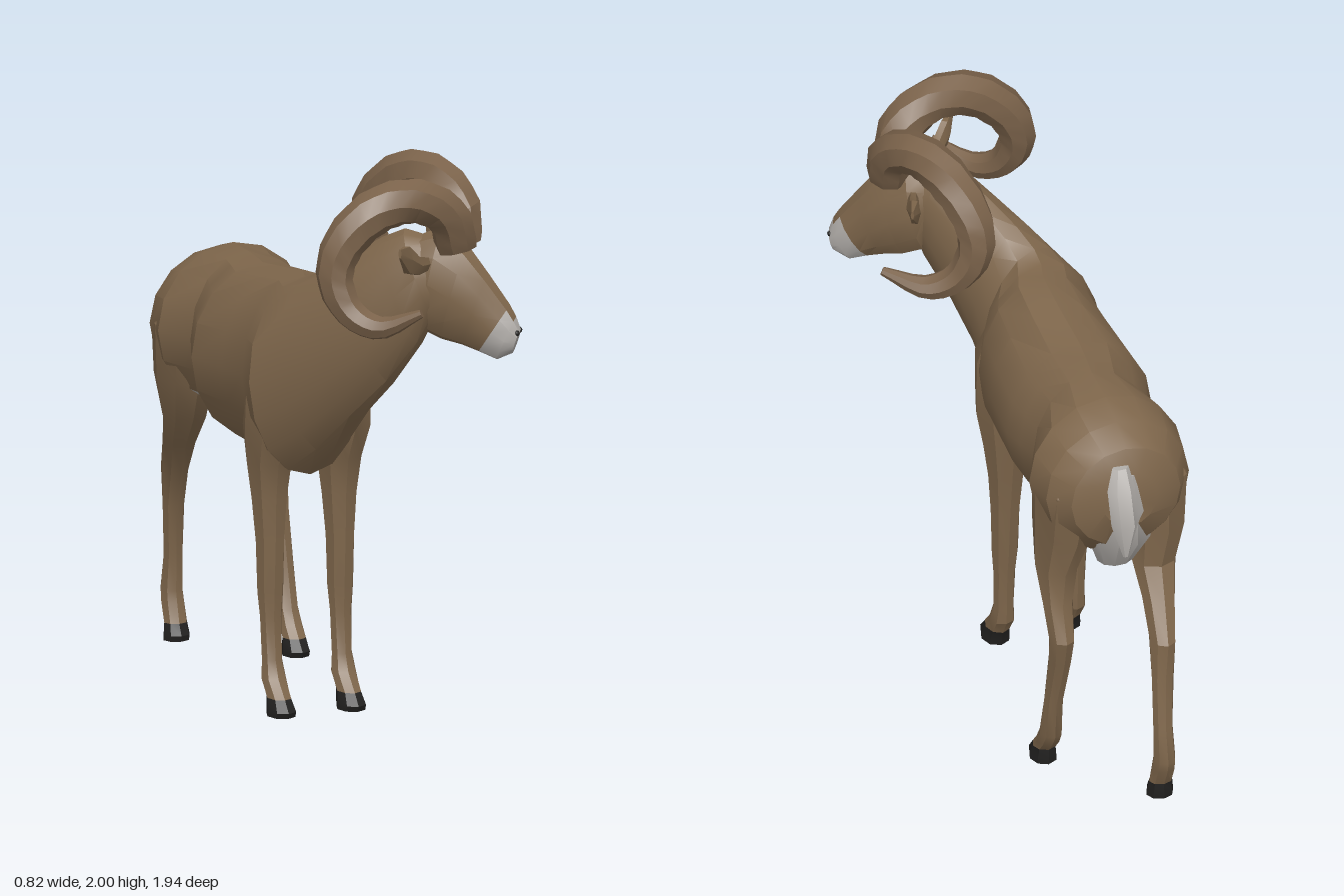
import * as THREE from 'three';
import { toCreasedNormals } from 'three/addons/utils/BufferGeometryUtils.js';

const mat = (name, color) => {
  const m = new THREE.MeshStandardMaterial({ color });
  m.name = name;
  return m;
};

// Skin a tube over rings [ax,ay,az, bx,by,bz, halfWidth, yaw]; a and b are opposite rim points.
// paint(row, sinAngle) returns the index of the material for a face.
function loft(name, rows, mats, sides = 10, paint = () => 0) {
  const pos = [], idx = mats.map(() => []);
  for (const [ax, ay, az, bx, by, bz, w, yaw = 0] of rows) {
    for (let j = 0; j < sides; j++) {
      const t = (j / sides) * Math.PI * 2, c = Math.cos(t) * w, s = Math.sin(t) / 2;
      pos.push((ax + bx) / 2 + c * Math.cos(yaw) + s * (bx - ax),
        (ay + by) / 2 + s * (by - ay),
        (az + bz) / 2 - c * Math.sin(yaw) + s * (bz - az));
    }
  }
  const last = rows.length - 1, cap = rows.length * sides;
  for (const r of [rows[0], rows[last]]) {
    pos.push((r[0] + r[3]) / 2, (r[1] + r[4]) / 2, (r[2] + r[5]) / 2);
  }
  for (let j = 0; j < sides; j++) {
    const k = (j + 1) % sides;
    for (let i = 0; i < last; i++) {
      const a = i * sides + j, b = i * sides + k;
      const m = paint(i, Math.sin(((j + 0.5) / sides) * Math.PI * 2));
      idx[m].push(a, b, a + sides, b, b + sides, a + sides);
    }
    idx[paint(0, 0)].push(cap, k, j);
    idx[paint(last - 1, 0)].push(cap + 1, last * sides + j, last * sides + k);
  }
  const g = new THREE.BufferGeometry();
  g.setAttribute('position', new THREE.Float32BufferAttribute(pos, 3));
  g.setIndex(idx.flat());
  let start = 0;
  idx.forEach((list, i) => {
    g.addGroup(start, list.length, i);
    start += list.length;
  });
  const mesh = new THREE.Mesh(toCreasedNormals(g, 0.45), mats);
  mesh.name = name;
  return mesh;
}

// Upright limb rows [x, y, backZ, frontZ, halfWidth], listed from top to bottom
const limb = (rows, dx = 0) => rows.map(([x, y, zb, zf, w]) => [x + dx, y, zb, x + dx, y, zf, w]);

export function createModel() {
  const coat = mat('brown coat', 0x7e664b);
  const horn = mat('brown horn', 0x7a624a);
  const pale = mat('pale grey hair', 0xb2aeaa);
  const dark = mat('dark hoof', 0x222120);
  const root = new THREE.Group();
  root.name = 'ram';

  // Trunk and turning neck, with a pale belly
  const trunk = [
    [-0.12, 1.1, -0.835, -0.12, 1.31, -0.82, 0.1],
    [-0.12, 1.0, -0.79, -0.12, 1.385, -0.78, 0.2],
    [-0.12, 0.93, -0.71, -0.12, 1.44, -0.69, 0.262],
    [-0.12, 0.9, -0.58, -0.12, 1.475, -0.58, 0.28],
    [-0.125, 0.895, -0.43, -0.125, 1.48, -0.43, 0.215],
    [-0.135, 0.875, -0.34, -0.135, 1.485, -0.34, 0.24],
    [-0.145, 0.86, -0.25, -0.145, 1.485, -0.25, 0.265],
    [-0.14, 0.855, -0.03, -0.14, 1.515, -0.05, 0.245],
    [-0.14, 0.835, 0.12, -0.14, 1.54, 0.1, 0.23],
    [-0.16, 0.845, 0.22, -0.16, 1.54, 0.17, 0.228, 0.1],
    [-0.12, 0.94, 0.32, -0.16, 1.56, 0.24, 0.182, 0.3],
    [-0.055, 1.08, 0.42, -0.125, 1.61, 0.32, 0.153, 0.55],
    [0.02, 1.23, 0.54, -0.07, 1.67, 0.4, 0.132, 0.75],
    [0.1, 1.38, 0.605, 0, 1.74, 0.49, 0.117, 0.9],
    [0.14, 1.48, 0.63, 0.06, 1.775, 0.54, 0.104, 1],
    [0.2, 1.5, 0.65, 0.15, 1.75, 0.6, 0.07, 1],
  ];
  root.add(loft('trunkAndNeck', trunk, [coat, pale], 16,
    (i, s) => (i > 1 && i < 8 && s < (i < 5 ? -0.8 : -0.95) ? 1 : 0)));

  // Pale rump patch, tail and sheath
  root.add(loft('rumpPatch', limb([
    [-0.11, 1.3, -0.83, -0.7, 0.06], [-0.11, 1.15, -0.85, -0.7, 0.1],
    [-0.12, 1.0, -0.815, -0.62, 0.115], [-0.12, 0.87, -0.73, -0.62, 0.065],
  ]), [pale]));
  root.add(loft('tail', limb([
    [-0.09, 1.335, -0.83, -0.79, 0.03], [-0.08, 1.27, -0.88, -0.81, 0.05],
    [-0.08, 1.15, -0.92, -0.85, 0.05], [-0.08, 1.02, -0.9, -0.885, 0.01],
  ]), [pale], 6));
  root.add(loft('sheath', limb([
    [-0.14, 0.9, -0.36, -0.22, 0.035], [-0.14, 0.845, -0.33, -0.3, 0.012],
  ]), [coat], 6));

  // Legs with shoulder or thigh: the last two sections of each are the hoof
  const foreleg = [
    [0, 1.36, 0.09, 0.2, 0.04], [0, 1.2, 0.01, 0.28, 0.095], [0, 1.0, 0.01, 0.265, 0.1],
    [0, 0.88, 0.03, 0.2, 0.083], [0, 0.75, 0.05, 0.18, 0.065], [0, 0.6, 0.07, 0.175, 0.053],
    [0, 0.42, 0.085, 0.165, 0.048], [0, 0.33, 0.1, 0.16, 0.04], [0, 0.18, 0.105, 0.175, 0.037],
    [0, 0.12, 0.108, 0.2, 0.045], [0, 0.06, 0.145, 0.26, 0.042],
    [0, 0.02, 0.155, 0.295, 0.05], [0, 0, 0.16, 0.285, 0.05],
  ];
  const hindLeft = [
    [0.01, 1.38, -0.7, -0.54, 0.05], [0.03, 1.2, -0.79, -0.44, 0.12],
    [0.045, 1.0, -0.75, -0.44, 0.1], [0.07, 0.85, -0.7, -0.5, 0.075],
    [0.08, 0.72, -0.7, -0.6, 0.055], [0.085, 0.6, -0.755, -0.645, 0.045],
    [0.085, 0.5, -0.73, -0.635, 0.04], [0.09, 0.3, -0.665, -0.6, 0.035],
    [0.09, 0.15, -0.65, -0.56, 0.04], [0.09, 0.1, -0.62, -0.53, 0.042],
    [0.09, 0.06, -0.585, -0.495, 0.042], [0.09, 0.02, -0.588, -0.46, 0.048],
    [0.09, 0, -0.585, -0.47, 0.048],
  ];
  const hindRight = [
    [-0.25, 1.38, -0.7, -0.54, 0.05], [-0.275, 1.2, -0.79, -0.45, 0.12],
    [-0.28, 1.0, -0.78, -0.5, 0.1], [-0.26, 0.85, -0.76, -0.6, 0.08],
    [-0.25, 0.74, -0.82, -0.69, 0.06], [-0.23, 0.62, -0.91, -0.78, 0.045],
    [-0.22, 0.48, -0.91, -0.85, 0.04], [-0.21, 0.3, -0.94, -0.875, 0.035],
    [-0.21, 0.17, -0.965, -0.88, 0.04], [-0.21, 0.13, -0.955, -0.87, 0.042],
    [-0.21, 0.06, -0.92, -0.85, 0.042], [-0.21, 0.02, -0.923, -0.83, 0.048],
    [-0.21, 0, -0.92, -0.835, 0.048],
  ];
  const legs = [['frontLeftLeg', foreleg, -0.01], ['frontRightLeg', foreleg, -0.27],
    ['hindLeftLeg', hindLeft, 0], ['hindRightLeg', hindRight, 0]];
  for (const [name, rows, dx] of legs) {
    root.add(loft(name, limb(rows, dx), [coat, dark], 8, (i) => (i > rows.length - 4 ? 1 : 0)));
  }

  // Head, modelled facing +z and then turned to the side
  const head = new THREE.Group();
  head.name = 'head';
  head.position.set(0.23, 0, 0.65);
  head.rotation.y = THREE.MathUtils.degToRad(58);
  root.add(head);
  // Skull rows: x, lower y, z, upper y, z, half width; brown runs down the bridge of the nose
  const skull = [
    [0, 1.5, -0.17, 1.76, -0.14, 0.09], [0, 1.42, -0.14, 1.79, -0.07, 0.105],
    [-0.005, 1.39, -0.07, 1.73, 0.02, 0.105], [-0.01, 1.375, 0, 1.63, 0.095, 0.085],
    [-0.016, 1.355, 0.06, 1.525, 0.17, 0.066], [-0.02, 1.33, 0.125, 1.485, 0.192, 0.061],
    [-0.02, 1.355, 0.18, 1.44, 0.207, 0.042],
  ].map(([x, ay, az, by, bz, w]) => [x, ay, az, x, by, bz, w]);
  head.add(loft('skullAndMuzzle', skull, [coat, pale], 12, (i, s) => (i > 4 || (i === 4 && s < 0.9) ? 1 : 0)));

  // Horn centre line (x, y, z) with radius
  const hornPath = [
    [0.045, 1.72, -0.01, 0.07], [0.096, 1.85, -0.036, 0.08], [0.176, 1.92, -0.134, 0.081],
    [0.253, 1.903, -0.252, 0.08], [0.315, 1.798, -0.358, 0.073], [0.343, 1.68, -0.386, 0.064],
    [0.362, 1.565, -0.33, 0.055], [0.385, 1.52, -0.225, 0.044], [0.415, 1.585, -0.07, 0.015],
  ];
  const steps = 28, xAxis = new THREE.Vector3(1, 0, 0);
  for (const s of [1, -1]) {
    const side = s > 0 ? 'left' : 'right';
    const curve = new THREE.CatmullRomCurve3(hornPath.map(([x, y, z]) => new THREE.Vector3(s * x, y, z)));
    const rows = [];
    for (let i = 0; i <= steps; i++) {
      const u = i / steps, f = u * (hornPath.length - 1), k = Math.min(Math.floor(f), hornPath.length - 2);
      const ridge = i < 20 && i % 2 ? 1.03 : 0.98;
      const r = THREE.MathUtils.lerp(hornPath[k][3], hornPath[k + 1][3], f - k) * ridge;
      const c = curve.getPoint(u);
      const n = curve.getTangent(u).cross(xAxis).normalize().multiplyScalar(r);
      rows.push([c.x - n.x, c.y - n.y, c.z - n.z, c.x + n.x, c.y + n.y, c.z + n.z, r * 1.1]);
    }
    head.add(loft(side + 'Horn', rows, [horn], 8));

    // Leaf-shaped ear
    const ear = [[0.08, 1.65, 1.7, -0.11, 0.018], [0.18, 1.655, 1.73, -0.13, 0.024],
      [0.25, 1.675, 1.785, -0.15, 0.022], [0.335, 1.755, 1.79, -0.16, 0.006]];
    head.add(loft(side + 'Ear', ear.map(([x, a, b, z, w]) =>
      [s * x, a, z, s * x, b, z, w, s * Math.PI / 2]), [coat], 6));

    // Nostril
    const nostril = new THREE.Mesh(new THREE.SphereGeometry(0.011, 8, 6), dark);
    nostril.name = side + 'Nostril';
    nostril.position.set(s * 0.026 - 0.02, 1.432, 0.198);
    head.add(nostril);
  }
  return root;
}
